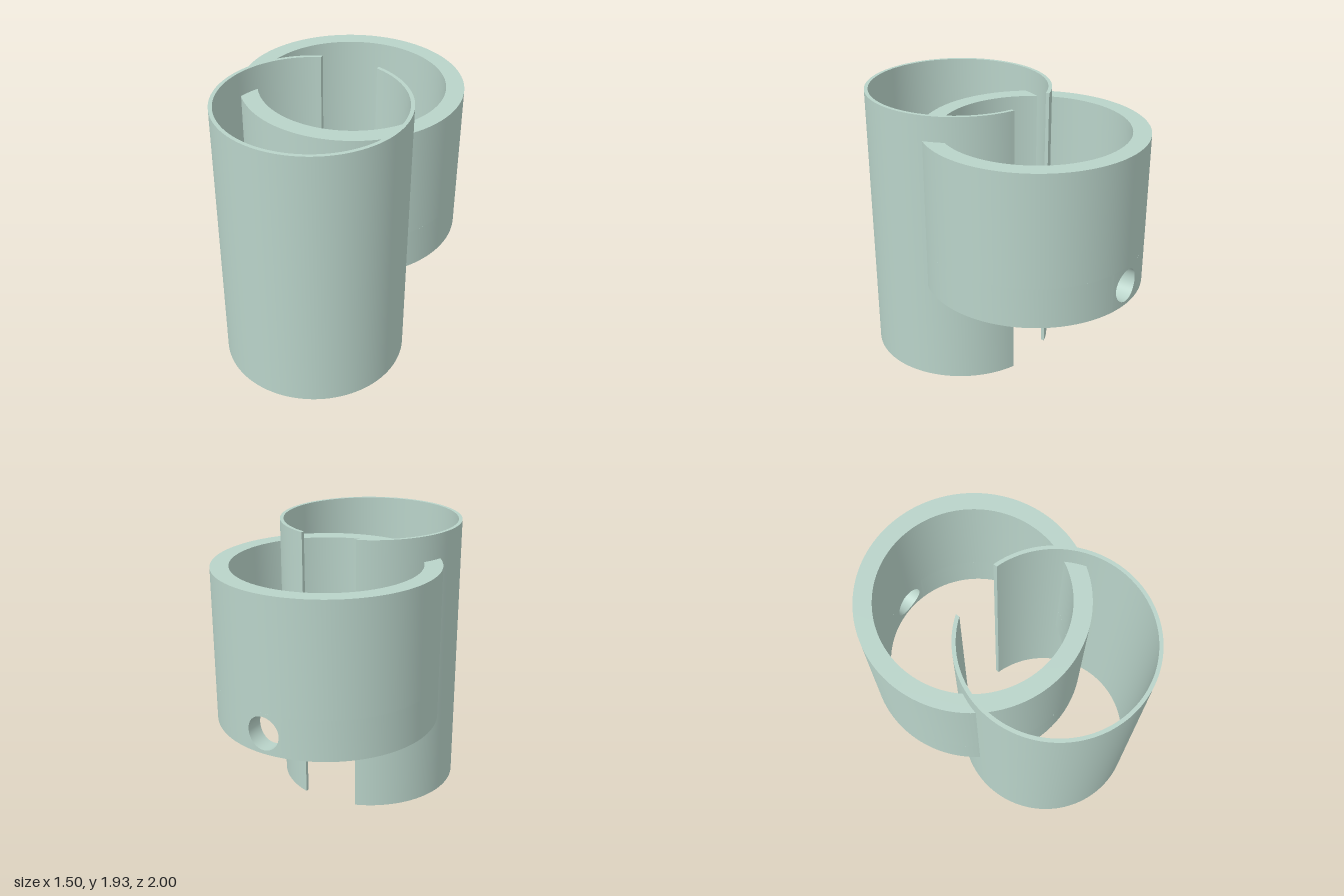
import * as THREE from 'three';
import { toCreasedNormals } from 'three/addons/utils/BufferGeometryUtils.js';

const TAU = Math.PI * 2;
const material = new THREE.MeshStandardMaterial({ color: 0xb9d3c9 });

// Thick collar and its radial hole
const COLLAR = { x: 0, z: -0.25, outer: 0.75, inner: 0.63, bottom: 0.71, top: 1.76 };
const HOLE = { y: 0.85, radius: 0.115, half: 0.14 };

function mesh(geometry, name) {
  const m = new THREE.Mesh(toCreasedNormals(geometry, 0.5), material);
  m.name = name;
  return m;
}

// Extrude a plan outline upward from y0 to y1 (plan y is world -z)
function raise(shape, y0, y1) {
  const g = new THREE.ExtrudeGeometry(shape, { depth: y1 - y0, bevelEnabled: false, curveSegments: 64 });
  return g.rotateX(-Math.PI / 2).translate(0, y0, 0);
}

function fullRing(x, z, outer, inner) {
  const s = new THREE.Shape().absarc(x, -z, outer, 0, TAU, false);
  s.holes.push(new THREE.Path().absarc(x, -z, inner, 0, TAU, true));
  return s;
}

// Ring with a slot at the back between the planes x = left and x = right
function slottedRing(x, z, outer, inner, left, right) {
  const angle = (edge, r) => Math.acos((edge - x) / r);
  const s = new THREE.Shape();
  s.absarc(x, -z, outer, angle(left, outer), angle(right, outer) + TAU, false);
  s.absarc(x, -z, inner, angle(right, inner) + TAU, angle(left, inner), true);
  s.closePath();
  return s;
}

// Curved wall block pierced by the round hole: a closed loop of square and circular sections
function holePanel() {
  const steps = 64, bands = 4, sections = [];
  for (let i = 0; i <= bands; i++) sections.push([COLLAR.inner, 1 - i / bands]);
  for (let i = 0; i <= bands; i++) sections.push([COLLAR.outer, i / bands]);
  sections.push([COLLAR.inner, 1]);
  const positions = [], index = [];
  sections.forEach(([r, k], s) => {
    for (let i = 0; i <= steps; i++) {
      const t = (i / steps) * TAU, c = Math.cos(t), n = Math.sin(t);
      const square = HOLE.half / Math.max(Math.abs(c), Math.abs(n));
      const d = THREE.MathUtils.lerp(HOLE.radius, square, k);
      const x = c * d;
      positions.push(COLLAR.x + x, HOLE.y + n * d, COLLAR.z - Math.sqrt(r * r - x * x));
      if (s < sections.length - 1 && i < steps) {
        const a = s * (steps + 1) + i, b = a + 1, e = a + steps + 1;
        index.push(a, b, e, b, e + 1, e);
      }
    }
  });
  const g = new THREE.BufferGeometry();
  g.setAttribute('position', new THREE.Float32BufferAttribute(positions, 3));
  g.setIndex(index);
  return g;
}

export function createModel() {
  const model = new THREE.Group();
  model.name = 'interlockedSleeves';

  // Tall thin sleeve, slotted along its back
  model.add(mesh(raise(slottedRing(0.03, 0.37, 0.63, 0.605, -0.2, 0.2), 0, 1.93), 'slottedSleeve'));

  // Thick collar: plain upper wall, lower wall and the pierced panel
  const { x, z, outer, inner, bottom, top } = COLLAR;
  const split = HOLE.y + HOLE.half;
  const collar = new THREE.Group();
  collar.name = 'collar';
  collar.add(
    mesh(raise(fullRing(x, z, outer, inner), split, top), 'collarUpperWall'),
    mesh(raise(slottedRing(x, z, outer, inner, -HOLE.half, HOLE.half), bottom, split), 'collarLowerWall'),
    mesh(holePanel(), 'collarHolePanel'),
  );
  model.add(collar);
  return model;
}
